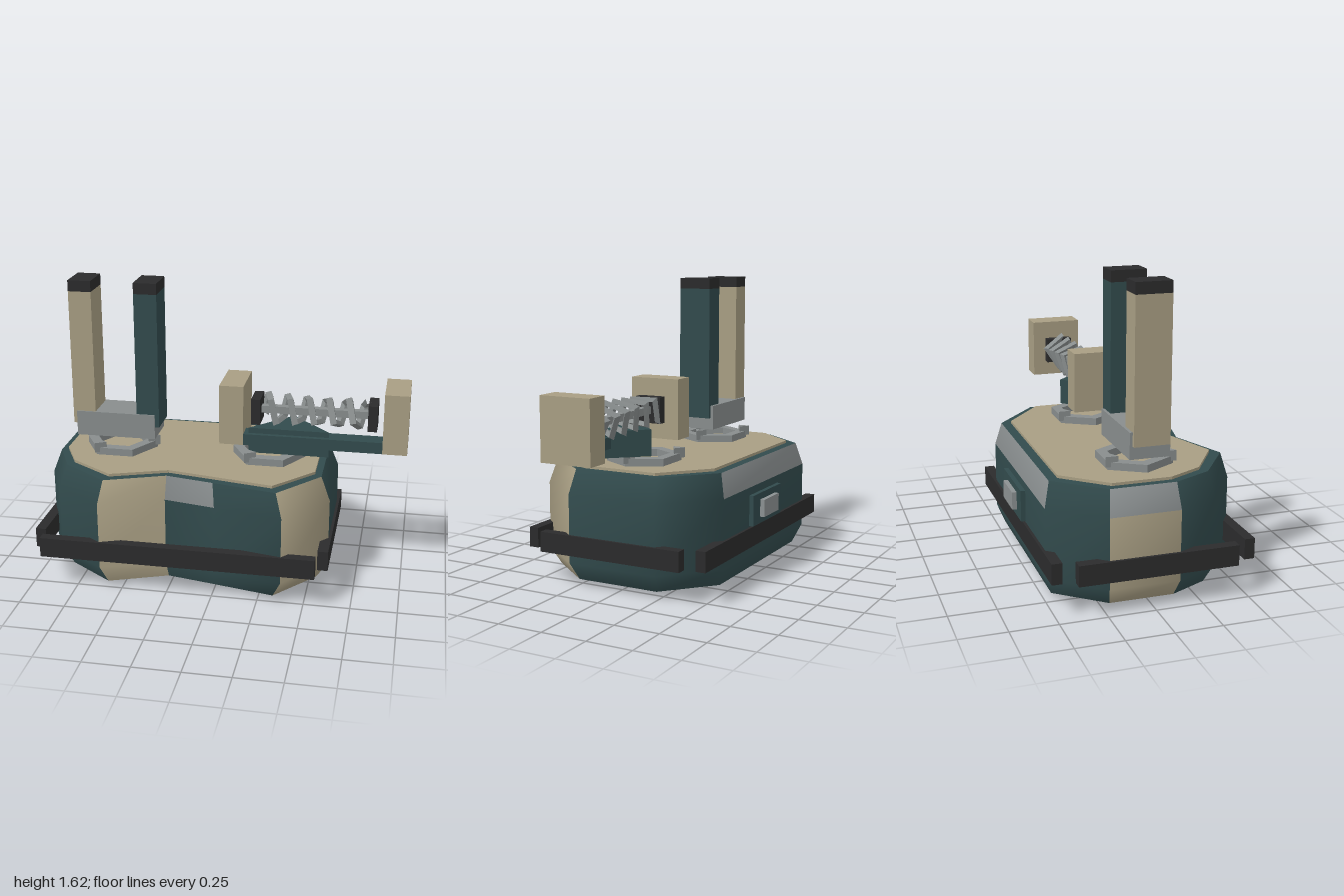
import * as THREE from 'three';

const mat = (name, color, opts = {}) => {
  const m = new THREE.MeshStandardMaterial({ color, ...opts });
  m.name = name;
  return m;
};

// Hull outline as [x, z], counter-clockwise seen from above, starting at the right flank
const OUTLINE = [
  [-0.985, 0.13], [-0.88, 0.35], [-0.61, 0.54], [-0.27, 0.41], [0.01, 0.465], [0.38, 0.54],
  [0.605, 0.265], [0.605, -0.25], [0.32, -0.505], [-0.77, -0.505], [-0.985, -0.24],
];
const CX = -0.19;
const scaled = (sx, sz = sx) => OUTLINE.map(([x, z]) => [CX + (x - CX) * sx, z * sz]);

// Smooth barrel-shaped wall; every face belongs to a colour group
function wallGeometry(colourOf) {
  const rows = [[0.035, 0.92], [0.135, 1], [0.51, 1], [0.64, 0.937]];
  const n = OUTLINE.length, pos = [], index = [];
  for (const [y, s] of rows) for (const [x, z] of scaled(s)) pos.push(x, y, z);
  const g = new THREE.BufferGeometry();
  for (let r = 0; r < rows.length - 1; r++) {
    for (let i = 0; i < n; i++) {
      const j = (i + 1) % n, a = r * n + i, b = r * n + j, c = b + n, d = a + n;
      g.addGroup(index.length, 6, colourOf(r, i));
      index.push(a, b, c, a, c, d);
    }
  }
  g.setAttribute('position', new THREE.Float32BufferAttribute(pos, 3));
  g.setIndex(index);
  g.computeVertexNormals();
  return g;
}

// Flat plate from [x, z] points between two heights, with an optional hole
function plateGeometry(points, y0, y1, hole) {
  const toVec = ([x, z]) => new THREE.Vector2(x, -z);
  const shape = new THREE.Shape(points.map(toVec));
  if (hole) shape.holes.push(new THREE.Path(hole.map(toVec)));
  const g = new THREE.ExtrudeGeometry(shape, { depth: y1 - y0, bevelEnabled: false });
  return g.rotateX(-Math.PI / 2).translate(0, y0, 0);
}

const ngon = (n, r) => Array.from({ length: n }, (_, i) => {
  const a = (i / n) * Math.PI * 2;
  return [Math.cos(a) * r, -Math.sin(a) * r];
});

class Helix extends THREE.Curve {
  getPoint(t, target = new THREE.Vector3()) {
    const a = (t * 5.4 - 0.37) * Math.PI * 2;
    return target.set(0.2 + 0.58 * t, Math.cos(a) * 0.085, Math.sin(a) * 0.085);
  }
}

export function createModel() {
  const model = new THREE.Group();
  const teal = mat('dark teal', 0x324b4d);
  const tan = mat('sand', 0xa89e83);
  const grey = mat('metal grey', 0x888d8d, { flatShading: true });
  const panelGrey = mat('panel grey', 0x8c9192);
  const black = mat('near black', 0x2b2b2c);

  const add = (parent, name, geo, material) => {
    const m = new THREE.Mesh(geo, material);
    m.name = name;
    parent.add(m);
    return m;
  };
  // Box given by its extents along each axis
  const box = (parent, name, material, [x0, x1], [y0, y1], [z0, z1]) => {
    const g = new THREE.BoxGeometry(x1 - x0, y1 - y0, z1 - z0);
    g.translate((x0 + x1) / 2, (y0 + y1) / 2, (z0 + z1) / 2);
    return add(parent, name, g, material);
  };
  const group = (name) => {
    const g = new THREE.Group();
    g.name = name;
    model.add(g);
    return g;
  };

  // Hull with sand sections and grey upper panels
  const hull = group('hull');
  const sand = [2, 5, 10], panels = [3, 8, 10];
  const colourOf = (row, i) => (row === 2 && panels.includes(i) ? 2 : sand.includes(i) ? 1 : 0);
  add(hull, 'hullWall', wallGeometry(colourOf), [teal, tan, panelGrey]);
  add(hull, 'hullTop', plateGeometry(scaled(0.937), 0.63, 0.64), teal);
  add(hull, 'hullBottom', plateGeometry(scaled(0.92), 0.035, 0.045), teal);
  add(hull, 'deck', plateGeometry(scaled(0.89, 0.835), 0.635, 0.655), tan);
  add(hull, 'bellyPlate', plateGeometry(scaled(0.74), 0.017, 0.04), black);

  // Bumper bars
  const bumpers = group('bumpers');
  const barY = [0.18, 0.29];
  box(bumpers, 'frontBumper', black, [-0.94, 0.56], barY, [0.497, 0.552]);
  box(bumpers, 'backBumper', black, [-0.94, 0.56], barY, [-0.52, -0.465]);
  box(bumpers, 'rightBumper', black, [-1, -0.943], barY, [-0.4, 0.44]);
  box(bumpers, 'leftBumper', black, [0.563, 0.62], barY, [-0.4, 0.44]);

  // Back hatch
  const hatch = group('backHatch');
  box(hatch, 'hatchFrame', teal, [-0.38, 0], [0.297, 0.467], [-0.53, -0.49]);
  box(hatch, 'hatchPanel', panelGrey, [-0.29, -0.09], [0.333, 0.43], [-0.555, -0.52]);

  // Hexagonal feet under the belly
  const feet = group('feet');
  for (const [x, z] of [[0.25, 0.165], [-0.2, -0.235], [-0.58, 0.165]]) {
    const g = plateGeometry(ngon(6, 0.148), 0, 0.022, ngon(6, 0.092));
    add(feet, 'footRing', g, grey).position.set(x, 0, z);
  }

  // Hexagonal mounts with three small wedges each
  for (const [name, x] of [['rightMount', -0.605], ['leftMount', 0.238]]) {
    const mount = group(name);
    mount.position.set(x, 0, 0.015);
    add(mount, 'mountRing', plateGeometry(ngon(6, 0.203), 0.65, 0.695, ngon(6, 0.14)), grey);
    for (let k = 0; k < 3; k++) {
      const a = (k * Math.PI * 2) / 3;
      const w = add(mount, 'mountWedge', plateGeometry(ngon(3, 0.04), 0.67, 0.725), grey);
      w.position.set(Math.cos(a) * 0.18, 0, -Math.sin(a) * 0.18);
      w.rotation.y = a;
    }
  }

  // Twin upright posts in a grey cradle
  const posts = group('uprightPosts');
  box(posts, 'cradle', grey, [-0.835, -0.39], [0.74, 0.88], [-0.09, 0.122]);
  for (const [name, material, x0] of [['sandPost', tan, -0.855], ['tealPost', teal, -0.493]]) {
    box(posts, name, material, [x0, x0 + 0.127], [0.808, 1.56], [-0.075, 0.115]);
    box(posts, 'postCap', black, [x0, x0 + 0.127], [1.56, 1.62], [-0.075, 0.115]);
  }

  // Sideways arm holding a coil between two end blocks
  const coilArm = group('coilArm');
  const wedge = [[0.14, 0.135], [0.578, 0.135], [0.36, -0.1]];
  add(coilArm, 'armWedge', plateGeometry(wedge, 0.707, 0.85), teal);
  box(coilArm, 'armBar', teal, [0.11, 0.867], [0.757, 0.82], [0.06, 0.16]);
  for (const x0 of [-0.018, 0.866]) {
    box(coilArm, 'endBlock', tan, [x0, x0 + 0.132], [0.757, 1.09], [-0.125, 0.162]);
  }
  for (const x0 of [0.145, 0.78]) {
    box(coilArm, 'coilStop', black, [x0, x0 + 0.05], [0.853, 0.997], [-0.06, 0.09]);
  }
  box(coilArm, 'coilCore', grey, [0.19, 0.785], [0.905, 0.945], [-0.005, 0.035]);
  add(coilArm, 'coil', new THREE.TubeGeometry(new Helix(), 22, 0.024, 4, false), grey)
    .position.set(0, 0.927, 0.015);

  return model;
}
